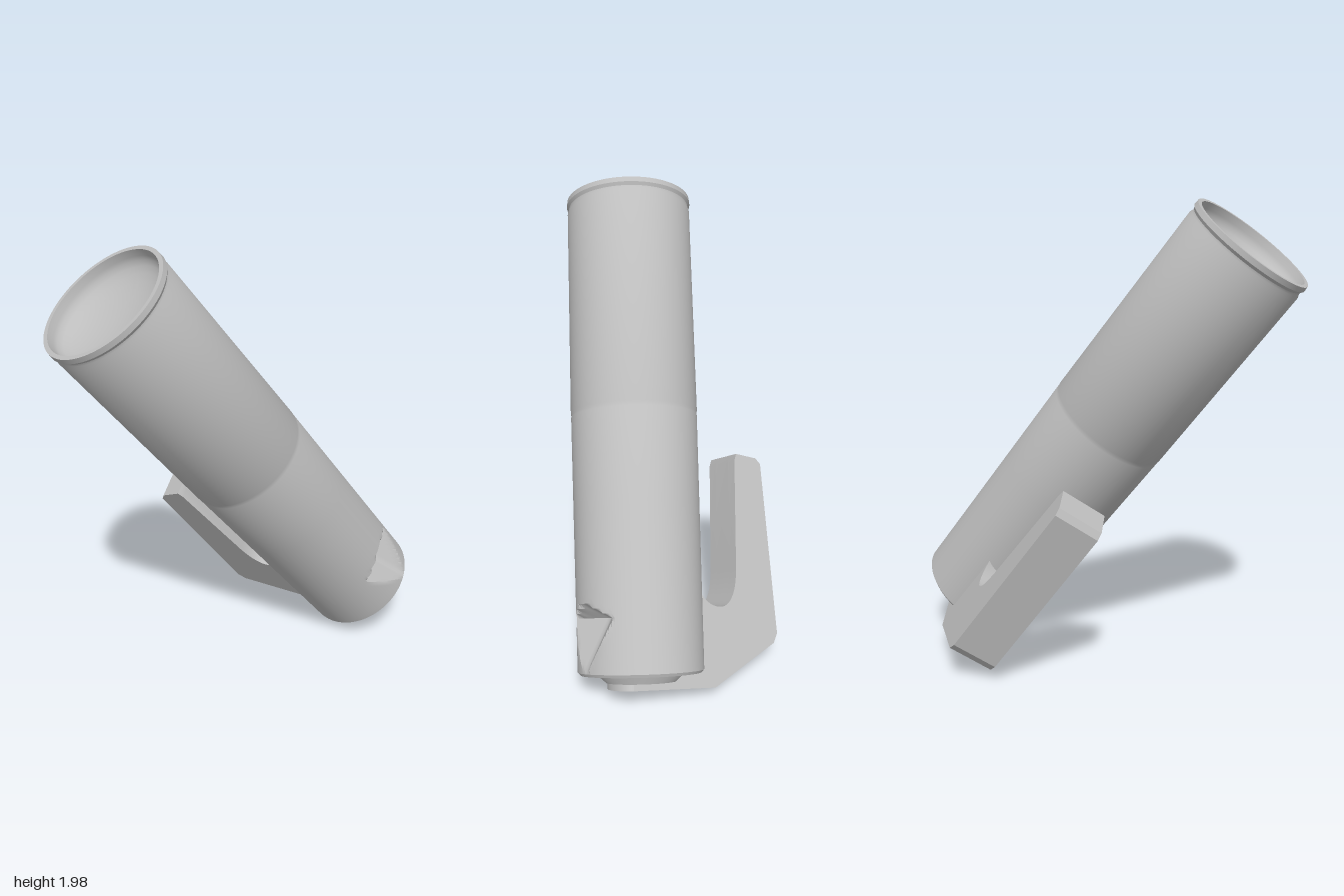
import * as THREE from 'three';
import { toCreasedNormals } from 'three/addons/utils/BufferGeometryUtils.js';

const V = (x, y, z) => new THREE.Vector3(x, y, z);

export function createModel() {
  const grey = new THREE.MeshStandardMaterial({ color: 0xbdbdbd });
  grey.name = 'plain grey';
  const model = new THREE.Group();
  model.name = 'tubeWithHook';

  // Tilted frame: local y runs up the tube, local x points towards the hook
  const base = V(0.265, 0.21, -0.6);
  const top = V(-0.255, 1.825, 0.59);
  const length = top.distanceTo(base);
  const up = top.clone().sub(base).normalize();
  const out = V(-0.96, -0.27, -0.02);
  out.addScaledVector(up, -out.dot(up)).normalize();
  const side = out.clone().cross(up);
  const body = new THREE.Group();
  body.name = 'tiltedBody';
  body.quaternion.setFromRotationMatrix(new THREE.Matrix4().makeBasis(out, up, side));
  body.position.copy(base);
  model.add(body);

  const add = (name, geometry, crease = 0.6) => {
    const mesh = new THREE.Mesh(toCreasedNormals(geometry, crease), grey);
    mesh.name = name;
    body.add(mesh);
    return mesh;
  };

  // Tube: closed base, slight taper, lipped rim and a shallow dished top
  const radius = (t) => 0.262 + 0.012 * Math.min(1, t / 1.2);
  const profile = [[0, 0], [0.15, 0], [0.25, 0], [0.262, 0.012]];
  for (let t = 0.03; t < 0.33; t += 0.02) profile.push([radius(t), t]);
  for (const t of [0.36, 0.7, 1.08]) profile.push([radius(t), t]);
  profile.push([0.271, 1.09], [0.274, 1.1], [0.274, length - 0.06], [0.268, length - 0.045],
    [0.268, length - 0.035], [0.277, length - 0.022], [0.275, length], [0.257, length],
    [0.253, length - 0.03]);
  for (let i = 1; i <= 8; i++) {
    const a = (i / 8) * Math.PI / 2;
    profile.push([0.253 * Math.cos(a), length - 0.03 - 0.09 * Math.sin(a)]);
  }
  profile[profile.length - 1][0] = 0;
  const tube = new THREE.LatheGeometry(profile.map(([r, t]) => new THREE.Vector2(r, t)), 120);

  // Wedge notch opposite the hook: a valley that deepens upwards, then a steep wall
  const p = tube.attributes.position;
  for (let i = 0; i < p.count; i++) {
    const t = p.getY(i);
    if (t < 0.025 || t > 0.3) continue;
    const w = p.getZ(i) - 0.02;
    const depth = t < 0.23 ? 0.25 - 0.11 * (t - 0.03) / 0.2 : 0.14 + 0.13 * (t - 0.23) / 0.06;
    const limit = depth + 0.5 * Math.abs(w);
    if (-p.getX(i) > limit) p.setX(i, -limit);
  }
  add('tube', tube, 0.5);

  // Collar where the bracket meets the base
  const collar = new THREE.CylinderGeometry(0.185, 0.145, 0.035, 32);
  collar.translate(0, -0.016, 0);
  add('baseCollar', collar);

  // Hook outline, with the underside start as a parameter so the middle can be recessed
  const hookShape = (underside) => {
    const s = new THREE.Shape();
    underside.forEach(([x, y], i) => (i ? s.lineTo(x, y) : s.moveTo(x, y)));
    s.lineTo(0.615, 0.1);
    s.lineTo(0.635, 0.14);
    s.lineTo(0.59, 0.89);
    s.lineTo(0.565, 0.915);
    s.lineTo(0.46, 0.93);
    s.lineTo(0.45, 0.9);
    s.lineTo(0.432, 0.42);
    s.bezierCurveTo(0.425, 0.31, 0.39, 0.26, 0.34, 0.262);
    s.quadraticCurveTo(0.28, 0.265, 0.24, 0.33);
    s.lineTo(0.1, 0.33);
    s.lineTo(0.1, 0.02);
    s.lineTo(underside[0][0], 0.02);
    s.closePath();
    return s;
  };
  const slab = (name, underside, depth, z) => {
    const g = new THREE.ExtrudeGeometry(hookShape(underside),
      { depth, bevelEnabled: false, curveSegments: 12 });
    g.translate(0, 0, z - depth / 2);
    add(name, g, 0.5);
  };
  // Two cheeks with a slotted core between them
  for (const s of [-1, 1]) slab('hookCheek', [[-0.09, -0.06], [0.3, -0.07]], 0.05, s * 0.075);
  slab('hookCore', [[-0.03, -0.03], [0.28, -0.03], [0.3, -0.07]], 0.1, 0);

  // Rounded end wall closing the slot under the tube
  const end = new THREE.CylinderGeometry(0.1, 0.1, 0.08, 20, 1, false, Math.PI, Math.PI);
  end.scale(0.5, 1, 1);
  end.translate(-0.085, -0.02, 0);
  add('slotEnd', end);

  return model;
}
